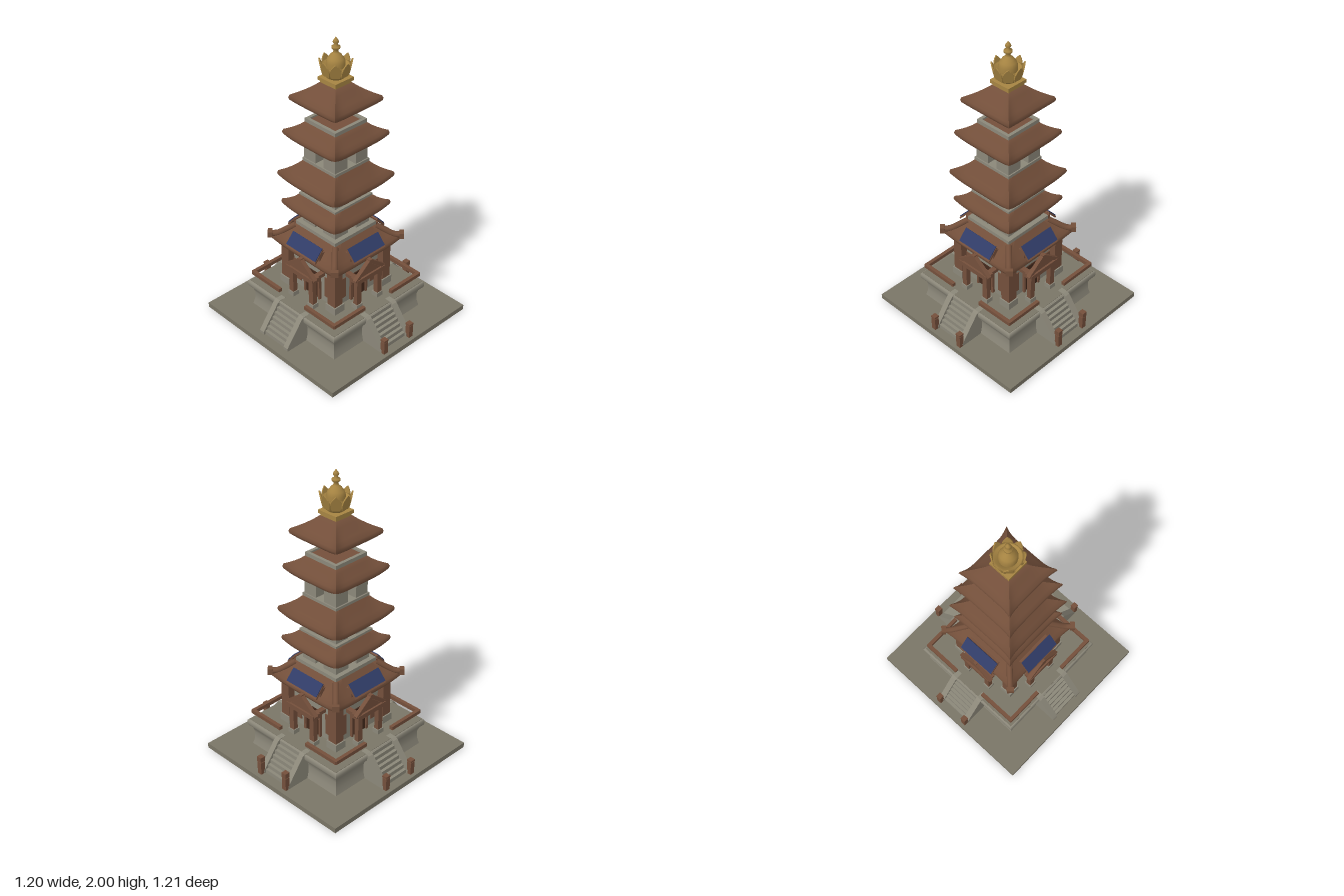
import * as THREE from 'three';
import { toCreasedNormals } from 'three/addons/utils/BufferGeometryUtils.js';

const mat = (name, color, side = THREE.FrontSide) => {
  const m = new THREE.MeshStandardMaterial({ color, side });
  m.name = name;
  return m;
};

export function createModel() {
  const model = new THREE.Group();
  model.name = 'pagoda';
  const ground = mat('ground stone', 0x7a7566);
  const stone = mat('pale stone', 0x8b8779);
  const wood = mat('brown timber', 0x744f3b);
  const tile = mat('roof tile', 0x734f3a);
  const dark = mat('dark doorway', 0x43291c);
  const blue = mat('blue panel', 0x303c67);
  const gold = mat('gold', 0xa68442, THREE.DoubleSide);

  const add = (name, geo, material, parent = model, x = 0, y = 0, z = 0) => {
    const m = new THREE.Mesh(geo, material);
    m.name = name;
    m.position.set(x, y, z);
    parent.add(m);
    return m;
  };
  // Box given by its width, depth and vertical range
  const box = (name, material, w, d, y0, y1, x = 0, z = 0, parent = model) =>
    add(name, new THREE.BoxGeometry(w, y1 - y0, d), material, parent, x, (y0 + y1) / 2, z);

  // Square loft: each ring is { h, y, flare, lift }, flare and lift grow toward the corners
  const squareLoft = (rings, n = 20) => {
    const pos = [], idx = [], count = 4 * n;
    for (const { h, y, flare = 0, lift = 0 } of rings) {
      for (let k = 0; k < 4; k++) {
        for (let i = 0; i < n; i++) {
          const s = -1 + (2 * i) / n, e = Math.abs(s) ** 6;
          let x = s * (h + flare * e), z = h + flare * e;
          for (let r = 0; r < k; r++) [x, z] = [z, -x];
          pos.push(x, y + lift * e, z);
        }
      }
    }
    for (let r = 0; r < rings.length - 1; r++) {
      for (let j = 0; j < count; j++) {
        const a = r * count + j, b = r * count + ((j + 1) % count);
        idx.push(a, b, b + count, a, b + count, a + count);
      }
    }
    const last = (rings.length - 1) * count, c = pos.length / 3;
    pos.push(0, rings[0].y, 0, 0, rings[rings.length - 1].y, 0);
    for (let j = 0; j < count; j++) {
      const k = (j + 1) % count;
      idx.push(c, k, j, c + 1, last + j, last + k);
    }
    const g = new THREE.BufferGeometry();
    g.setAttribute('position', new THREE.Float32BufferAttribute(pos, 3));
    g.setIndex(idx);
    return toCreasedNormals(g, 0.9);
  };

  // Roof with a thick rounded eave and upturned corners
  const roof = (name, y0, yTop, eave, corner, top, tip) => {
    const thick = 0.045, flare = corner - eave, lift = tip - y0 - thick, dy = yTop - y0 - thick;
    const rings = [
      { h: top * 0.9, y: y0 + 0.015 },
      { h: eave - 0.02, y: y0, flare, lift },
      { h: eave - 0.004, y: y0 + 0.012, flare, lift },
      { h: eave, y: y0 + 0.028, flare, lift },
    ];
    for (const t of [0, 0.25, 0.5, 0.75, 1]) {
      const k = (1 - t) ** 1.5;
      rings.push({ h: eave - 0.006 + (top - eave + 0.006) * t, y: y0 + thick + dy * (0.9 * t + 0.1 * t * t),
        flare: flare * k, lift: lift * k });
    }
    add(name, squareLoft(rings), tile);
  };

  // Ground slab and podium
  box('groundSlab', ground, 1.2, 1.21, 0, 0.035);
  add('podium', squareLoft([
    { h: 0.39, y: 0.035 }, { h: 0.38, y: 0.08 }, { h: 0.378, y: 0.13 }, { h: 0.388, y: 0.165 },
    { h: 0.408, y: 0.185 }, { h: 0.412, y: 0.2 }, { h: 0.412, y: 0.222 }, { h: 0.405, y: 0.23 }], 1), stone);
  add('terraceFloor', new THREE.BoxGeometry(0.8, 0.004, 0.8), ground, model, 0, 0.231, 0);

  // Ground-floor body with corner columns
  box('hallWall', stone, 0.4, 0.4, 0.23, 0.55);
  box('hallBeam', wood, 0.48, 0.48, 0.52, 0.55);
  for (const x of [-0.215, 0.215]) {
    for (const z of [-0.215, 0.215]) {
      box('columnBase', stone, 0.085, 0.085, 0.23, 0.285, x, z);
      box('cornerColumn', wood, 0.068, 0.068, 0.285, 0.53, x, z);
    }
  }

  // Side profiles of the stair wall and the porch gable
  const extrude = (pts, depth) => new THREE.ExtrudeGeometry(
    new THREE.Shape(pts.map(([x, y]) => new THREE.Vector2(x, y))), { depth, bevelEnabled: false });
  const stairWall = extrude([[0.36, 0.035], [0.552, 0.035], [0.552, 0.055], [0.542, 0.07], [0.425, 0.224],
    [0.405, 0.234], [0.36, 0.234]], 0.038).rotateY(-Math.PI / 2);
  const pediment = extrude([[-0.1, 0.465], [0.1, 0.465], [0, 0.545]], 0.016);

  // One side of the ground floor, repeated around the building
  for (let k = 0; k < 4; k++) {
    const side = new THREE.Group();
    side.name = 'buildingSide';
    side.rotation.y = (k * Math.PI) / 2;
    model.add(side);

    // Stairs
    for (let i = 0; i < 7; i++) {
      const y = 0.035 + (i + 1) * 0.027, end = 0.54 - i * 0.021;
      box('step', stone, 0.19, end - 0.37, 0.035, y, 0, (end + 0.37) / 2, side);
    }
    for (const x of [-0.095, 0.133]) add('stairWall', stairWall, stone, side, x, 0, 0);

    for (const s of [-1, 1]) {
      // Gate posts on every stair except the front one
      if (k > 0) {
        box('gatePost', wood, 0.034, 0.032, 0.035, 0.125, s * 0.115, 0.56, side);
        box('gatePostCap', wood, 0.036, 0.036, 0.13, k === 2 ? 0.165 : 0.143, s * 0.115, 0.56, side);
        box('gatePostNeck', wood, 0.022, 0.022, 0.12, 0.135, s * 0.115, 0.56, side);
      }
      // Railing
      box('railing', wood, 0.27, 0.024, 0.28, 0.305, s * 0.253, 0.38, side);
      // Timber wall panels
      box('wallPanel', wood, 0.07, 0.008, 0.28, 0.43, s * 0.145, 0.202, side);
      // Porch columns, side beams and thin gable rafters
      box('porchBase', stone, 0.05, 0.05, 0.23, 0.265, s * 0.092, 0.29, side);
      box('porchColumn', wood, 0.038, 0.034, 0.265, 0.445, s * 0.092, 0.292, side);
      box('porchSideBeam', wood, 0.035, 0.13, 0.44, 0.465, s * 0.092, 0.255, side);
      const rafter = add('gableRafter', new THREE.BoxGeometry(0.165, 0.024, 0.028), wood, side, s * 0.065, 0.512, 0.306);
      rafter.rotation.z = -s * 0.67;
      box('doorJamb', wood, 0.015, 0.02, 0.235, 0.43, s * 0.066, 0.208, side);
    }
    box('porchFrontBeam', wood, 0.25, 0.06, 0.44, 0.472, 0, 0.295, side);
    add('pediment', pediment, wood, side, 0, 0, 0.296);
    box('gablePeak', wood, 0.025, 0.028, 0.55, 0.576, 0, 0.306, side);
    box('door', dark, 0.12, 0.008, 0.235, 0.425, 0, 0.203, side);

    // Tilted blue panel over the first roof
    const panel = new THREE.Group();
    panel.name = 'skyPanel';
    panel.position.set(0, 0.648, 0.272);
    panel.rotation.x = 0.84;
    side.add(panel);
    box('panelFrame', wood, 0.272, 0.1, -0.012, 0, 0, 0.008, panel);
    box('bluePanel', blue, 0.266, 0.094, 0, 0.006, 0, 0, panel);
    box('panelSupport', wood, 0.25, 0.05, 0.58, 0.645, 0, 0.235, side);
  }

  // Roofs: underside, top, eave, corner reach, top width, corner height
  roof('firstRoof', 0.53, 0.69, 0.278, 0.3, 0.18, 0.615);
  roof('secondRoof', 0.8, 0.915, 0.226, 0.243, 0.165, 0.88);
  roof('thirdRoof', 1.005, 1.17, 0.236, 0.257, 0.14, 1.09);
  roof('fourthRoof', 1.31, 1.44, 0.213, 0.23, 0.13, 1.385);
  roof('topRoof', 1.555, 1.705, 0.182, 0.2, 0.068, 1.62);

  // Heavy hip ridges on the first roof
  for (let k = 0; k < 4; k++) {
    const pts = [[0.18, 0.685], [0.22, 0.65], [0.265, 0.615], [0.3, 0.612]]
      .map(([h, y]) => new THREE.Vector3(h, y, h));
    const hip = new THREE.Group();
    hip.name = 'hipRidge';
    hip.rotation.y = (k * Math.PI) / 2;
    model.add(hip);
    add('ridge', new THREE.TubeGeometry(new THREE.CatmullRomCurve3(pts), 10, 0.02, 8), tile, hip);
    const end = add('ridgeEnd', new THREE.BoxGeometry(0.046, 0.04, 0.03), tile, hip, 0.298, 0.612, 0.298);
    end.rotation.y = Math.PI / 4;
  }

  // Open upper storeys: stone slab with four corner piers
  const storeys = [[0.68, 0.715, 0.82, 0.18, 0.148], [0.905, 0.93, 1.025, 0.162, 0.14], [1.165, 1.185, 1.33, 0.145, 0.137]];
  for (const [y0, y1, y2, half, outer] of storeys) {
    box('storeySlab', stone, half * 2, half * 2, y0, y1);
    const w = outer - 0.036, c = (outer + 0.036) / 2;
    for (const x of [-c, c]) for (const z of [-c, c]) box('pier', stone, w, w, y1, y2, x, z);
  }
  // Rim on the fourth roof, with a timber deck inside
  for (let k = 0; k < 4; k++) {
    const rim = new THREE.Group();
    rim.name = 'rimSide';
    rim.rotation.y = (k * Math.PI) / 2;
    model.add(rim);
    box('rim', stone, 0.264, 0.022, 1.435, 1.463, 0, 0.121, rim);
  }
  box('rimDeck', wood, 0.225, 0.225, 1.43, 1.452);

  // Gold lotus finial
  const finial = new THREE.Group();
  finial.name = 'finial';
  model.add(finial);
  box('finialBase', gold, 0.13, 0.13, 1.7, 1.72, 0, 0, finial);
  box('finialPlinth', gold, 0.15, 0.15, 1.72, 1.742, 0, 0, finial);
  const lathe = (name, pts) => add(name,
    new THREE.LatheGeometry(pts.map(([r, y]) => new THREE.Vector2(r, y)), 20), gold, finial);
  lathe('lotusCup', [[0, 1.735], [0.05, 1.742], [0.072, 1.76], [0.084, 1.79], [0.088, 1.825], [0.078, 1.825], [0.05, 1.8]]);
  lathe('spire', [[0.056, 1.8], [0.058, 1.84], [0.05, 1.866], [0.038, 1.875], [0.036, 1.885], [0.018, 1.9], [0.013, 1.915],
    [0.026, 1.928], [0.026, 1.94], [0.009, 1.95], [0.019, 1.968], [0.014, 1.98], [0, 2]]);
  const petalShape = new THREE.Shape();
  petalShape.moveTo(-0.024, 0);
  petalShape.quadraticCurveTo(-0.05, 0.055, 0, 0.1);
  petalShape.quadraticCurveTo(0.05, 0.055, 0.024, 0);
  const petalGeo = new THREE.ExtrudeGeometry(petalShape, { depth: 0.008, bevelEnabled: false, curveSegments: 6 });
  for (let i = 0; i < 8; i++) {
    const holder = new THREE.Group();
    holder.name = 'petalHolder';
    holder.rotation.y = (i * Math.PI) / 4;
    finial.add(holder);
    add('petal', petalGeo, gold, holder, 0, 1.768, 0.07).rotation.x = 0.25;
  }
  return model;
}
